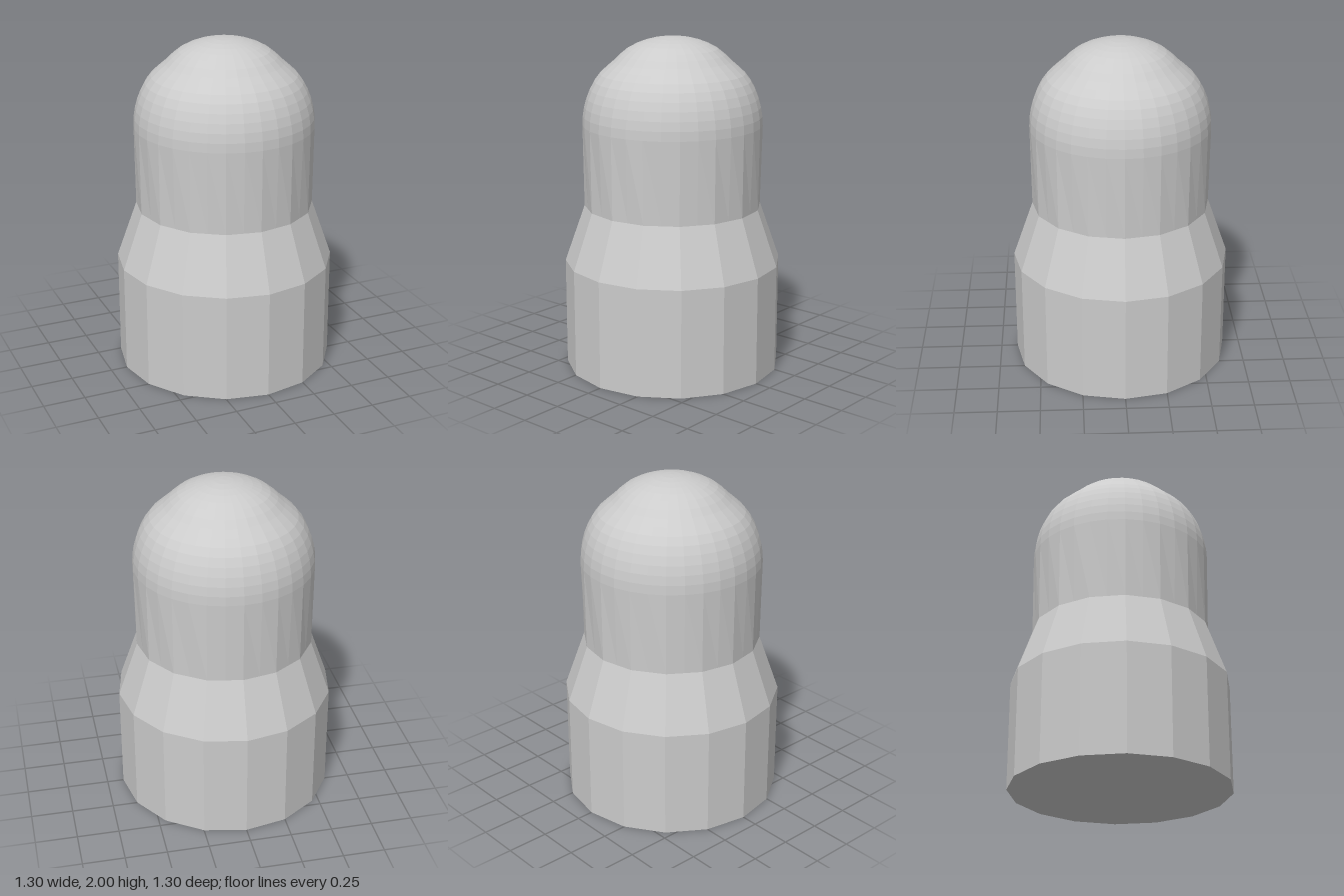
import * as THREE from 'three';

const material = new THREE.MeshStandardMaterial({ color: 0xcccccc, flatShading: true });

// Revolved part from a list of [radius, height] points, bottom to top
function lathe(name, profile, segments) {
  const points = profile.map(([r, y]) => new THREE.Vector2(r, y));
  const mesh = new THREE.Mesh(new THREE.LatheGeometry(points, segments), material);
  mesh.name = name;
  return mesh;
}

export function createModel() {
  const group = new THREE.Group();
  const neckY = 0.99, domeY = 1.48, neckR = 0.53, domeR = 0.535;

  // Sixteen-sided base with closed underside and sloping shoulder
  group.add(lathe('base', [[0, 0], [0.65, 0], [0.65, 0.65]], 16));
  group.add(lathe('shoulder', [[0.65, 0.65], [neckR, neckY]], 16));

  // Neck: 32 sides on top, its lower ring pulled onto the shoulder's 16 sides
  const neck = lathe('neck', [[neckR, neckY], [domeR, domeY]], 32);
  const pos = neck.geometry.attributes.position;
  const chord = Math.cos(Math.PI / 16);
  for (let i = 0; i <= 32; i++) {
    if (i % 2) pos.setXYZ(i * 2, pos.getX(i * 2) * chord, neckY, pos.getZ(i * 2) * chord);
  }
  group.add(neck);

  // Rounded dome, very slightly flattened around its 45 degree band
  const rings = 15;
  const dome = [];
  for (let i = 0; i <= rings; i++) {
    const a = (i / rings) * Math.PI / 2;
    const s = 1 - 0.028 * Math.exp(-(((a - 0.82) / 0.17) ** 2));
    dome.push([i === rings ? 0 : domeR * s * Math.cos(a), domeY + (2 - domeY) * s * Math.sin(a)]);
  }
  group.add(lathe('dome', dome, 32));

  return group;
}
